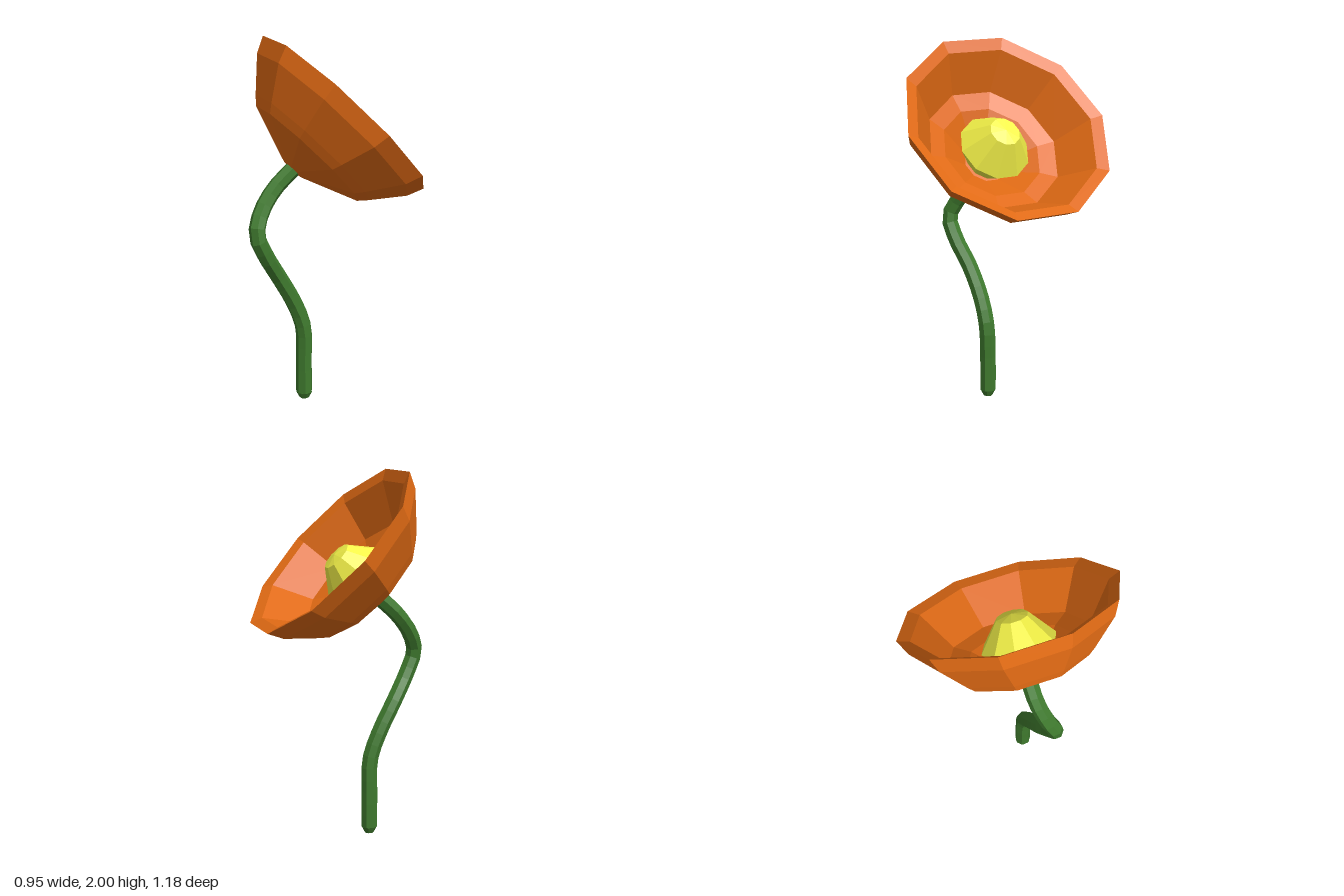
import * as THREE from 'three';

const SIDES = 10;

function material(color) {
  return new THREE.MeshStandardMaterial({ color, flatShading: true });
}

// Faceted solid of revolution from [radius, height] pairs
function turned(name, profile, mat) {
  const points = profile.map(([r, y]) => new THREE.Vector2(r, y));
  const mesh = new THREE.Mesh(new THREE.LatheGeometry(points, SIDES), mat);
  mesh.name = name;
  return mesh;
}

export function createModel() {
  const model = new THREE.Group();
  model.name = 'flower';
  const orange = material(0xe06a14);
  const yellow = material(0xf4f248);
  const green = material(0x3f7a2e);

  // Blossom: tilted about 46 degrees towards +x, origin at the rim centre
  const blossom = new THREE.Group();
  blossom.name = 'blossom';
  blossom.position.set(0.085, 1.595, 0);
  blossom.rotation.z = -0.811;
  model.add(blossom);

  // Petal cup: outside from base to rim, then back down the inside to the throat
  blossom.add(turned('petalCup', [
    [0, -0.405], [0.065, -0.405], [0.368, -0.293], [0.41, -0.25], [0.55, -0.088], [0.59, 0],
    [0.525, -0.025], [0.38, -0.22], [0.285, -0.25], [0.12, -0.36], [0, -0.36],
  ], orange));

  // Pistil: faceted bud standing in the throat
  blossom.add(turned('pistil', [
    [0, -0.355], [0.11, -0.35], [0.2, -0.212], [0.085, -0.06], [0, -0.045],
  ], yellow));

  // Stem: winding tube with a slightly narrowed foot
  const path = new THREE.CatmullRomCurve3([
    [-0.15, 0.035, 0], [-0.15, 0.22, 0], [-0.155, 0.42, 0.005], [-0.21, 0.57, 0.01],
    [-0.3, 0.73, 0.03], [-0.39, 0.88, 0.07], [-0.438, 1.0, 0.082], [-0.405, 1.1, 0.045],
    [-0.32, 1.215, 0.01], [-0.194, 1.33, 0],
  ].map((p) => new THREE.Vector3(...p)));
  const stem = new THREE.Mesh(new THREE.TubeGeometry(path, 22, 0.045, 7), green);
  stem.name = 'stem';
  model.add(stem);

  const foot = new THREE.Mesh(new THREE.CylinderGeometry(0.045, 0.026, 0.035, 7), green);
  foot.name = 'stemFoot';
  foot.position.set(-0.15, 0.0175, 0);
  model.add(foot);

  return model;
}
